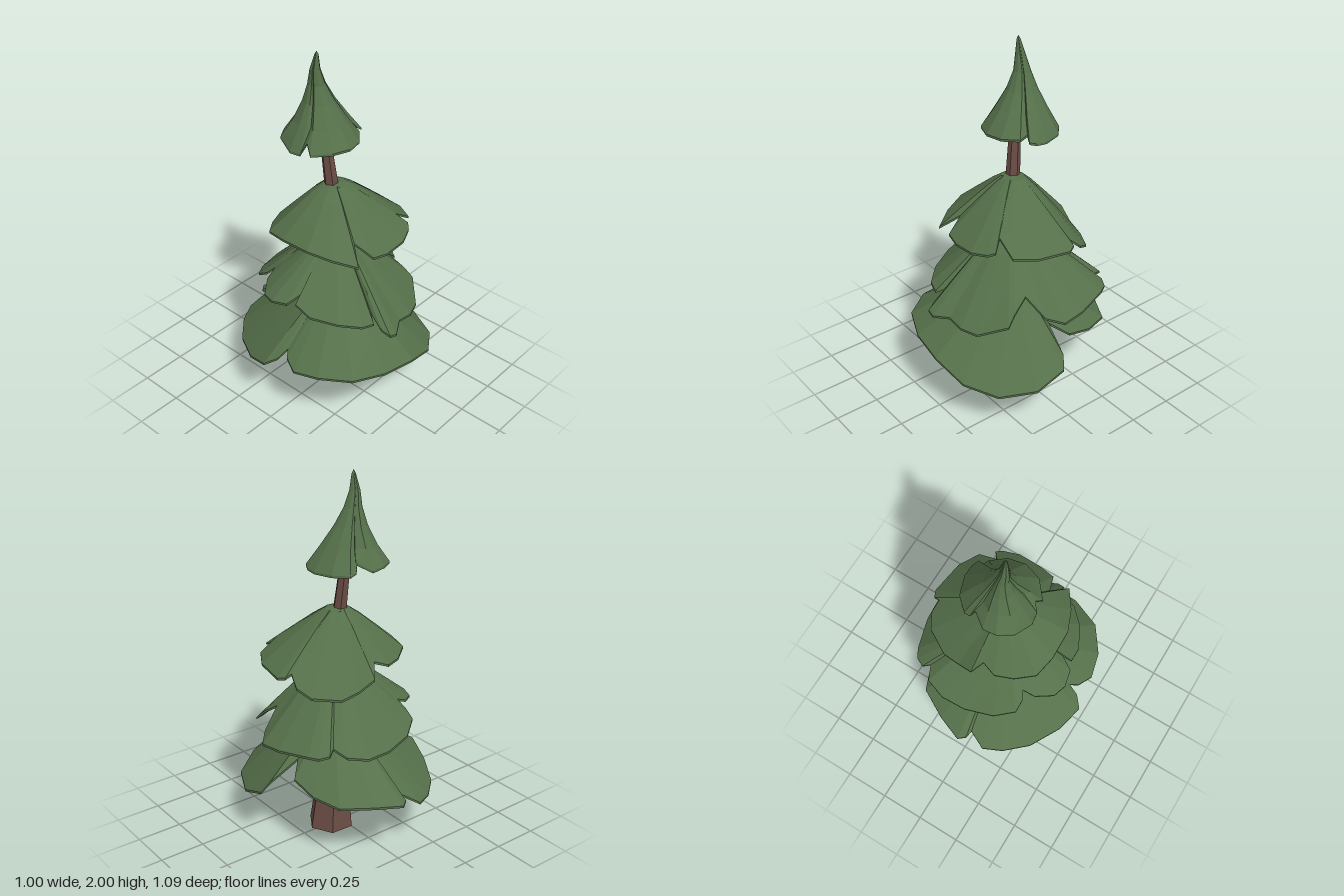
import * as THREE from 'three';

const leafMat = new THREE.MeshStandardMaterial({ color: 0x55704a, flatShading: true });
const barkMat = new THREE.MeshStandardMaterial({ color: 0x6b4c45, flatShading: true });

// Builds an indexed mesh from loops of points; each loop is joined to the next.
function loft(name, rings, material) {
  const n = rings[0].length, index = [];
  for (let r = 0; r < rings.length - 1; r++) {
    for (let i = 0; i < n; i++) {
      const j = (i + 1) % n, a = r * n + i, b = r * n + j, c = a + n, d = b + n;
      index.push(a, c, b, b, c, d);
    }
  }
  const geo = new THREE.BufferGeometry().setFromPoints(rings.flat());
  geo.setIndex(index);
  geo.computeVertexNormals();
  const mesh = new THREE.Mesh(geo, material);
  mesh.name = name;
  return mesh;
}

// A thin skirt of needles: spine rows are [x, y, z, spread, drop], rim rows are [x, y, z].
// Each spine row gives a loop that blends from the spine out to the ragged rim.
function skirt(name, spine, rim, thickness = 0.012) {
  const top = spine.map(([x, y, z, spread, drop]) => rim.map((p) => new THREE.Vector3(
    x + (p[0] - x) * spread, y + (p[1] - y) * drop, z + (p[2] - z) * spread)));
  top.push(rim.map((p) => new THREE.Vector3(...p)));
  const under = top.map((loop) => loop.map((p) => p.clone().setY(p.y - thickness))).reverse();
  return loft(name, [...top, ...under], leafMat);
}

// Rounded shoulder shared by the three wide skirts
const shoulder = (x, y, z) => [
  [x, y, z, 0, 0], [x, y, z, 0.17, 0.04], [x, y, z, 0.36, 0.23], [x, y, z, 0.68, 0.61],
];

export function createModel() {
  const tree = new THREE.Group();
  tree.name = 'pineTree';

  // Bent six-sided trunk: [x, y, z, radius]
  const trunk = [
    [0.058, 0, 0.012, 0.128], [0.04, 0.37, 0.01, 0.085], [0.03, 0.62, 0.0, 0.066],
    [0.045, 0.9, 0.02, 0.05], [0.008, 1.26, -0.005, 0.038], [-0.01, 1.56, -0.035, 0.028],
    [-0.01, 1.66, -0.055, 0.022],
  ];
  const trunkRings = trunk.map(([x, y, z, r]) => Array.from({ length: 6 }, (_, i) => {
    const a = -i * Math.PI / 3 + 0.05;
    return new THREE.Vector3(x + r * Math.cos(a), y, z + r * Math.sin(a));
  }));
  const cap = ([x, y, z]) => Array(6).fill(new THREE.Vector3(x, y, z));
  trunkRings.unshift(cap(trunk[0]));
  trunkRings.push(cap(trunk.at(-1)));
  trunkRings.forEach((ring) => ring.reverse());
  tree.add(loft('trunk', trunkRings, barkMat));

  // Rims run from the back towards the left, front and right, with notches between lobes
  const rims = {
    bottom: [
      [0.01, 0.345, -0.545], [0.155, 0.36, -0.49], [0.315, 0.37, -0.4], [0.37, 0.39, -0.25],
      [0.38, 0.43, -0.1], [0.3, 0.49, -0.02], [0.46, 0.39, 0.01], [0.5, 0.33, 0.04],
      [0.49, 0.265, 0.21], [0.4, 0.262, 0.395], [0.24, 0.3, 0.505], [0.046, 0.37, 0.542],
      [-0.155, 0.395, 0.52], [-0.33, 0.41, 0.443], [-0.435, 0.415, 0.295], [-0.47, 0.4, 0.155],
      [-0.43, 0.42, 0.07], [-0.39, 0.44, 0.04], [-0.45, 0.4, 0.02], [-0.5, 0.365, -0.035],
      [-0.46, 0.31, -0.18], [-0.36, 0.28, -0.35], [-0.24, 0.285, -0.46], [-0.136, 0.295, -0.51],
      [-0.04, 0.36, -0.47], [-0.03, 0.35, -0.515],
    ],
    lowerMiddle: [
      [0.02, 0.62, -0.435], [0.16, 0.62, -0.44], [0.27, 0.65, -0.405], [0.3, 0.68, -0.33],
      [0.34, 0.66, -0.355], [0.39, 0.65, -0.33], [0.42, 0.65, -0.28], [0.475, 0.63, -0.1],
      [0.487, 0.62, 0.03], [0.42, 0.645, 0.105], [0.31, 0.74, 0.15], [0.335, 0.68, 0.24],
      [0.35, 0.63, 0.29], [0.235, 0.57, 0.406], [0.14, 0.575, 0.443], [0.046, 0.59, 0.443],
      [-0.04, 0.575, 0.493], [-0.085, 0.585, 0.487], [-0.1, 0.61, 0.44], [-0.085, 0.68, 0.35],
      [-0.128, 0.65, 0.41], [-0.2, 0.66, 0.39], [-0.287, 0.68, 0.3], [-0.355, 0.7, 0.17],
      [-0.36, 0.74, 0.075], [-0.31, 0.77, 0.065], [-0.38, 0.73, 0.03], [-0.4, 0.715, -0.06],
      [-0.375, 0.71, -0.136], [-0.29, 0.73, -0.2], [-0.22, 0.76, -0.21], [-0.243, 0.72, -0.25],
      [-0.24, 0.68, -0.316], [-0.14, 0.64, -0.39],
    ],
    upperMiddle: [
      [0.03, 0.985, -0.325], [0.12, 0.935, -0.31], [0.22, 0.91, -0.296], [0.35, 0.93, -0.22],
      [0.388, 0.97, -0.145], [0.375, 1.025, -0.085], [0.41, 1.01, -0.08], [0.43, 1.0, -0.04],
      [0.4, 1.01, 0.145], [0.336, 1.02, 0.252], [0.226, 1.09, 0.25], [0.264, 1.04, 0.304],
      [0.235, 1.025, 0.333], [0.148, 1.01, 0.368], [0.017, 1.0, 0.368], [-0.07, 1.01, 0.35],
      [-0.105, 1.07, 0.25], [-0.175, 1.0, 0.34], [-0.25, 1.03, 0.23], [-0.3, 1.055, 0.107],
      [-0.305, 1.055, -0.06], [-0.28, 1.04, -0.18], [-0.186, 1.02, -0.25], [-0.09, 1.02, -0.287],
      [-0.012, 1.05, -0.265],
    ],
    top: [
      [-0.01, 1.53, -0.25], [0.055, 1.57, -0.205], [0.075, 1.535, -0.226], [0.11, 1.52, -0.223],
      [0.177, 1.52, -0.16], [0.21, 1.52, -0.058], [0.206, 1.525, 0], [0.19, 1.535, 0.035],
      [0.155, 1.56, 0.02], [0.148, 1.54, 0.058], [0.075, 1.535, 0.12], [-0.017, 1.535, 0.14],
      [-0.11, 1.535, 0.107], [-0.18, 1.525, 0.023], [-0.16, 1.57, -0.015], [-0.185, 1.51, -0.04],
      [-0.195, 1.51, -0.1], [-0.157, 1.54, -0.2], [-0.084, 1.54, -0.246],
    ],
  };
  for (const name in rims) rims[name].reverse();

  tree.add(skirt('bottomBranches', shoulder(0.03, 0.7, 0.03), rims.bottom));
  tree.add(skirt('lowerMiddleBranches', shoulder(0.02, 0.995, 0.02), rims.lowerMiddle));
  tree.add(skirt('upperMiddleBranches', shoulder(0.015, 1.285, 0), rims.upperMiddle));

  // Hooked, concave crown
  tree.add(skirt('crown', [
    [-0.03, 2, -0.068, 0, 0], [-0.03, 1.98, -0.07, 0.05, 0], [-0.032, 1.9, -0.083, 0.13, 0],
    [-0.02, 1.82, -0.088, 0.22, 0], [-0.012, 1.73, -0.085, 0.4, 0], [-0.005, 1.63, -0.075, 0.68, 0],
  ], rims.top));

  return tree;
}
